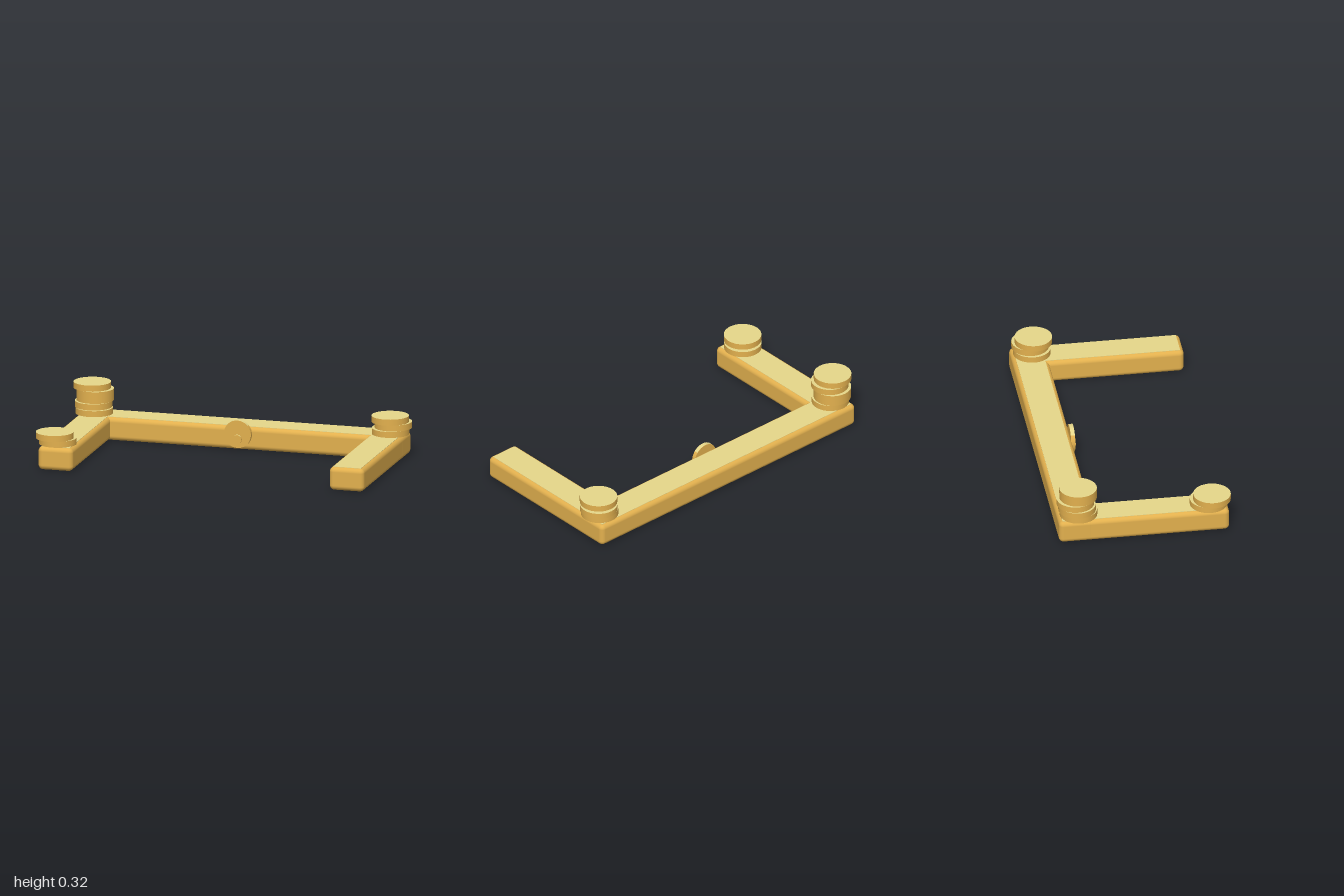
import * as THREE from 'three';
import { RoundedBoxGeometry } from 'three/addons/geometries/RoundedBoxGeometry.js';

export function createModel() {
  const model = new THREE.Group();
  const gold = new THREE.MeshStandardMaterial({ color: 0xe2b04e });
  gold.name = 'gold';
  const paleGold = new THREE.MeshStandardMaterial({ color: 0xe6d78a });
  paleGold.name = 'paleGold';

  const add = (name, geometry, material, x, y, z) => {
    const mesh = new THREE.Mesh(geometry, material);
    mesh.name = name;
    mesh.position.set(x, y, z);
    model.add(mesh);
    return mesh;
  };

  // Rounded bar with a thin pale plate on its flat top
  const height = 0.135;
  const addBar = (name, width, depth, x, z) => {
    add(name, new RoundedBoxGeometry(width, height, depth, 4, 0.028), gold, x, height / 2, z);
    add(name + 'Top', new THREE.BoxGeometry(width - 0.042, 0.003, depth - 0.042), paleGold, x, height - 0.0005, z);
  };

  // U-shaped frame: a long back bar and two arms
  addBar('backBar', 1.93, 0.205, 0.002, -0.393);
  addBar('rightArm', 0.205, 0.972, -0.86, -0.002);
  addBar('leftArm', 0.205, 0.972, 0.864, -0.002);

  // Loosely stacked discs on the corners: [x, z] from the bottom up
  const disc = new THREE.CylinderGeometry(0.107, 0.107, 0.0355, 40);
  const stacks = {
    backRightDisc: [[-0.875, -0.373], [-0.882, -0.382], [-0.875, -0.391], [-0.870, -0.374], [-0.888, -0.377]],
    backLeftDisc: [[0.878, -0.375], [0.892, -0.383], [0.878, -0.366]],
    frontRightDisc: [[-0.873, 0.375], [-0.887, 0.393]],
  };
  for (const [name, discs] of Object.entries(stacks)) {
    discs.forEach(([x, z], i) => {
      add(name + (i + 1), disc, [gold, paleGold, gold], x, height + 0.018 + i * 0.037, z);
    });
  }

  // Discs standing on edge, with a pale strip along the upper rim
  const addUpright = (name, radius, depth, y, z) => {
    const body = new THREE.CylinderGeometry(radius, radius, depth, 40);
    const rim = new THREE.CylinderGeometry(radius + 0.001, radius + 0.001, depth, 16, 1, true, Math.PI - 0.85, 1.7);
    add(name, body, gold, 0.002, y, z).rotation.x = Math.PI / 2;
    add(name + 'UpperRim', rim, paleGold, 0.002, y, z).rotation.x = Math.PI / 2;
  };

  // Medallion on the inner face of the back bar, with a small plain boss
  addUpright('medallion', 0.08, 0.024, 0.095, -0.281);
  addUpright('medallionBoss', 0.026, 0.012, 0.066, -0.265);

  return model;
}
